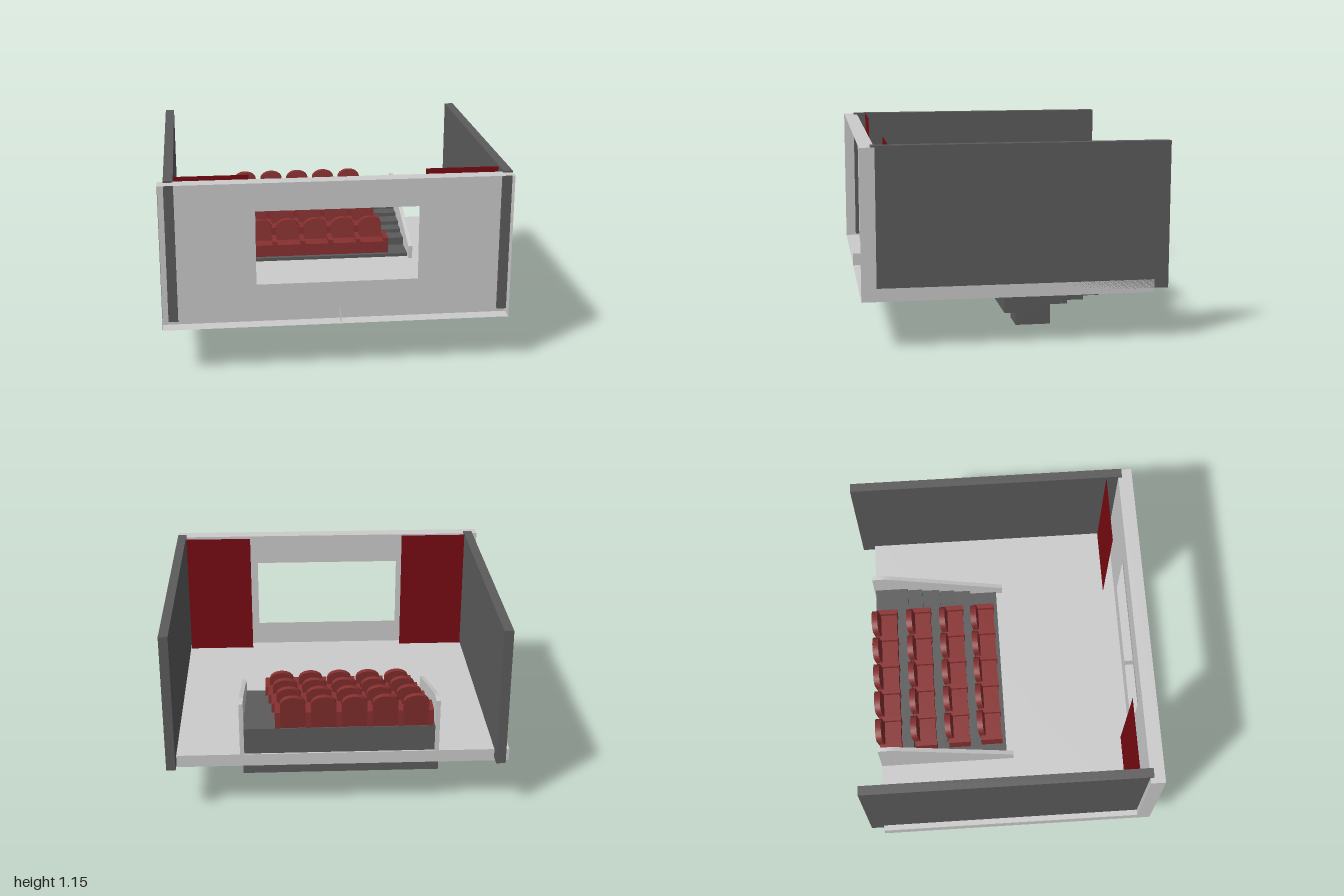
import * as THREE from 'three';

const mat = (color, side = THREE.FrontSide) =>
  new THREE.MeshStandardMaterial({ color, side, flatShading: true });
const LIGHT = mat(0xcccccc);
const SHEET = mat(0xcccccc, THREE.DoubleSide);
const DARK = mat(0x5c5c5c);
const RED = mat(0x883030);
const CURTAIN = mat(0x780a12, THREE.DoubleSide);

function add(parent, name, geometry, material) {
  const mesh = new THREE.Mesh(geometry, material);
  mesh.name = name;
  parent.add(mesh);
  return mesh;
}

// Box given by its limits on each axis
function box(parent, name, material, [x0, x1], [y0, y1], [z0, z1]) {
  const mesh = add(parent, name, new THREE.BoxGeometry(x1 - x0, y1 - y0, z1 - z0), material);
  mesh.position.set((x0 + x1) / 2, (y0 + y1) / 2, (z0 + z1) / 2);
  return mesh;
}

function rect(path, x0, y0, x1, y1) {
  path.moveTo(x0, y0);
  path.lineTo(x1, y0);
  path.lineTo(x1, y1);
  path.lineTo(x0, y1);
  path.closePath();
  return path;
}

// Front wall: a thin shell, open towards the front, with a screen opening
function buildFrontWall() {
  const wall = new THREE.Group();
  wall.name = 'frontWall';
  const shape = rect(new THREE.Shape(), -1, 0.36, 1, 1.14);
  shape.holes.push(rect(new THREE.Path(), -0.46, 0.51, 0.475, 0.95));
  add(wall, 'wallPanel', new THREE.ShapeGeometry(shape), SHEET).position.z = 0.785;
  for (const [name, y] of [['wallTop', 1.14], ['wallBase', 0.285]]) {
    const strip = add(wall, name, new THREE.PlaneGeometry(2, 0.085), SHEET);
    strip.rotation.x = -Math.PI / 2;
    strip.position.set(0, y, 0.8275);
  }
  for (const x of [-1, 1]) {
    const end = add(wall, 'wallEnd', new THREE.PlaneGeometry(0.085, 0.855), SHEET);
    end.rotation.y = Math.PI / 2;
    end.position.set(x, 0.7125, 0.8275);
  }
  const rib = add(wall, 'baseRib', new THREE.PlaneGeometry(0.085, 0.075), SHEET);
  rib.rotation.y = Math.PI / 2;
  rib.position.set(0.02, 0.3225, 0.8275);
  return wall;
}

// Arched, slightly reclined seat back
const backShape = new THREE.Shape();
backShape.moveTo(-0.073, 0);
backShape.lineTo(0.073, 0);
backShape.lineTo(0.073, 0.155);
backShape.absellipse(0, 0.155, 0.073, 0.05, 0, Math.PI, false);
backShape.closePath();
const backGeo = new THREE.ExtrudeGeometry(backShape, { depth: 0.036, bevelEnabled: false, curveSegments: 10 });
backGeo.applyMatrix4(new THREE.Matrix4().makeShear(0, 0, 0, -0.12, 0, 0));

// Row of five seats sharing armrests; x0 is its right end, z its front
function buildRow(x0, y, z) {
  const row = new THREE.Group();
  row.name = 'seatRow';
  const pitch = 0.178, arm = 0.03;
  for (let i = 0; i <= 5; i++) {
    const x = i * pitch;
    box(row, 'armrest', RED, [x, x + arm], [0, 0.1], [-0.135, 0]);
    if (i === 5) break;
    box(row, 'cushion', RED, [x + arm, x + pitch], [0, 0.075], [-0.125, -0.005]);
    add(row, 'seatBack', backGeo, RED).position.set(x + (arm + pitch) / 2, 0, -0.131);
  }
  row.position.set(x0, y, z);
  return row;
}

// Sloping side panel beside the seating
function buildSidePanel(xOuter) {
  const s = new THREE.Shape();
  s.moveTo(0.04, 0.36);
  s.lineTo(0.04, 0.44);
  s.lineTo(-0.68, 0.68);
  s.quadraticCurveTo(-0.73, 0.695, -0.79, 0.685);
  s.lineTo(-0.79, 0.36);
  s.closePath();
  const geo = new THREE.ExtrudeGeometry(s, { depth: 0.025, bevelEnabled: false, curveSegments: 6 });
  geo.rotateY(-Math.PI / 2);
  const panel = new THREE.Mesh(geo, LIGHT);
  panel.name = 'sidePanel';
  panel.position.x = xOuter;
  return panel;
}

export function createModel() {
  const model = new THREE.Group();
  model.name = 'auditorium';

  // Room
  box(model, 'floor', LIGHT, [-1, 1], [0.285, 0.36], [-0.79, 0.785]);
  model.add(buildFrontWall());
  box(model, 'rightWall', DARK, [-0.967, -0.912], [0.31, 1.15], [-0.87, 0.807]);
  box(model, 'leftWall', DARK, [0.946, 1], [0.31, 1.15], [-0.87, 0.807]);

  // Curtains either side of the screen opening
  for (const [x, z] of [[-0.7, 0.73], [0.73, 0.71]]) {
    add(model, 'curtain', new THREE.PlaneGeometry(0.42, 0.79), CURTAIN).position.set(x, 0.755, z);
  }

  // Tiers: x limits, y limits, z limits
  const tiers = [
    [[-0.56, 0.555], [0.08, 0.38], [-0.215, 0]],
    [[-0.57, 0.558], [0.125, 0.427], [-0.38, -0.17]],
    [[-0.575, 0.574], [0.175, 0.473], [-0.57, -0.37]],
    [[-0.584, 0.56], [0.23, 0.52], [-0.78, -0.575]],
  ];
  const rows = [[-0.49, -0.022], [-0.51, -0.222], [-0.53, -0.43], [-0.55, -0.643]];
  tiers.forEach(([x, y, z], i) => {
    box(model, 'tier', DARK, x, y, z);
    model.add(buildRow(rows[i][0], y[1], rows[i][1]));
  });

  // Aisle half steps
  box(model, 'aisleStep', DARK, [0.355, 0.54], [0, 0.3], [-0.28, -0.07]);
  box(model, 'aisleStep', DARK, [0.41, 0.55], [0.145, 0.45], [-0.48, -0.275]);
  box(model, 'aisleStep', DARK, [0.4, 0.55], [0.205, 0.497], [-0.69, -0.48]);

  model.add(buildSidePanel(-0.56), buildSidePanel(0.576));
  return model;
}
